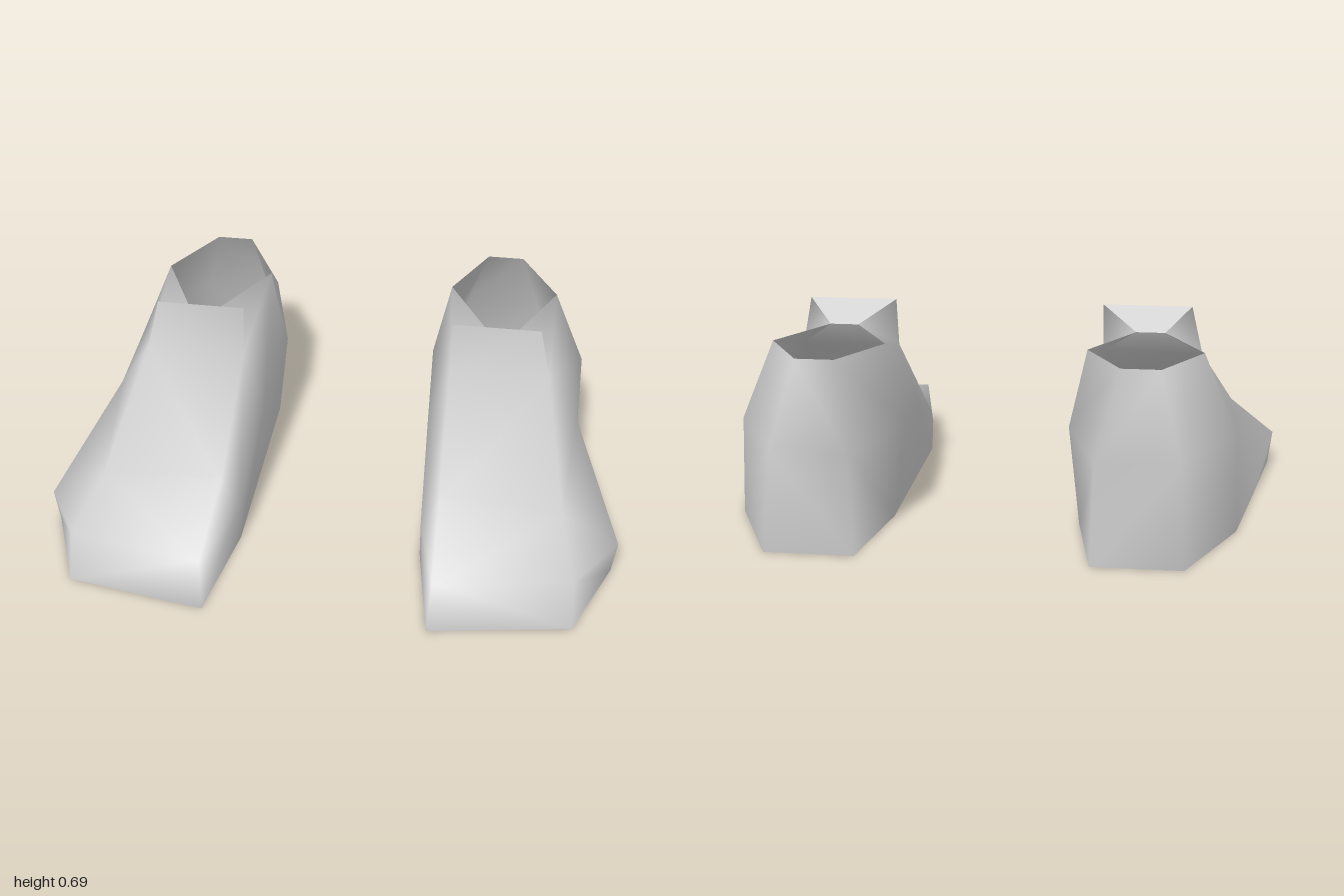
import * as THREE from 'three';

// Outline loops of one shoe: heel inner, heel outer, side, instep, ball, toe outer, toe inner, ball, instep, side
const sole = [
  [0.38, 0, -0.78], [0.68, 0, -0.78], [0.85, 0, -0.4], [0.92, 0, 0], [0.985, 0, 0.39],
  [0.86, 0, 0.7], [0.38, 0, 0.78], [0.32, 0, 0.4], [0.32, 0, 0], [0.32, 0, -0.39],
];
const middle = [
  [0.39, 0.34, -0.78], [0.66, 0.34, -0.74], [0.84, 0.34, -0.4], [0.83, 0.35, 0], [1, 0.12, 0.39],
  [0.85, 0.17, 0.66], [0.39, 0.17, 0.73], [0.32, 0.15, 0.4], [0.3, 0.3, 0], [0.28, 0.34, -0.38],
];
const upper = [
  [0.46, 0.615, -0.64], [0.59, 0.615, -0.64], [0.725, 0.615, -0.4], [0.72, 0.515, 0], [0.8, 0.24, 0.4],
  [0.85, 0.17, 0.66], [0.39, 0.17, 0.73], [0.38, 0.26, 0.4], [0.37, 0.515, 0.01], [0.34, 0.615, -0.4],
];
// Tongue: top edge inner and outer, then the front of the opening outer and inner
const tongue = [[0.37, 0.69, -0.03], [0.68, 0.69, -0.03], [0.59, 0.615, -0.125], [0.49, 0.615, -0.125]];

function buildMesh(name, points, faces, side, material) {
  const index = [];
  for (const f of faces) {
    for (let k = 1; k < f.length - 1; k++) {
      if (side > 0) index.push(f[0], f[k], f[k + 1]);
      else index.push(f[0], f[k + 1], f[k]); // mirrored shoe keeps its faces outward
    }
  }
  const geometry = new THREE.BufferGeometry();
  const flat = points.flatMap(([x, y, z]) => [x * side, y, z]);
  geometry.setAttribute('position', new THREE.Float32BufferAttribute(flat, 3));
  geometry.setIndex(index);
  geometry.computeVertexNormals();
  const mesh = new THREE.Mesh(geometry, material);
  mesh.name = name;
  return mesh;
}

function buildShoe(name, side, material) {
  const shoe = new THREE.Group();
  shoe.name = name;
  const n = sole.length;

  // Upper: walls around the foot; both loops share the two toe corners
  const S = (i) => i % n;
  const M = (i) => n + (i % n);
  const U = (i) => (i % n === 5 || i % n === 6 ? M(i) : 2 * n + (i % n));
  const T = (i) => 3 * n + i;
  const faces = [];
  for (let i = 0; i < n; i++) {
    faces.push([S(i), M(i), M(i + 1), S(i + 1)]);
    const wall = [M(i), U(i), U(i + 1), M(i + 1)].filter((v, k, a) => a.indexOf(v) === k);
    // the instep slopes up to the rim, so its walls are ordinary quads as well
    if (wall.length > 2) faces.push(wall);
  }
  // Instep and toe cap
  faces.push([U(3), U(8), U(7), U(4)], [U(4), U(7), U(6), U(5)]);
  // Tongue front and the folds beside it
  faces.push([U(8), U(3), T(1), T(0)]);
  faces.push([U(3), U(2), T(2)], [U(3), T(2), T(1)]);
  faces.push([U(8), T(3), U(9)], [U(8), T(0), T(3)]);
  shoe.add(buildMesh('upper', [...sole, ...middle, ...upper, ...tongue], faces, side, material));

  // Flat sole and the back of the tongue have crisp edges
  shoe.add(buildMesh('sole', sole, [sole.map((_, i) => i)], side, material));
  shoe.add(buildMesh('tongueBack', tongue, [[0, 1, 2, 3]], side, material));
  return shoe;
}

export function createModel() {
  const material = new THREE.MeshStandardMaterial({ color: 0xcccccc, side: THREE.DoubleSide });
  material.name = 'light grey';
  const model = new THREE.Group();
  model.name = 'pairOfShoes';
  model.add(buildShoe('leftShoe', 1, material), buildShoe('rightShoe', -1, material));
  return model;
}
